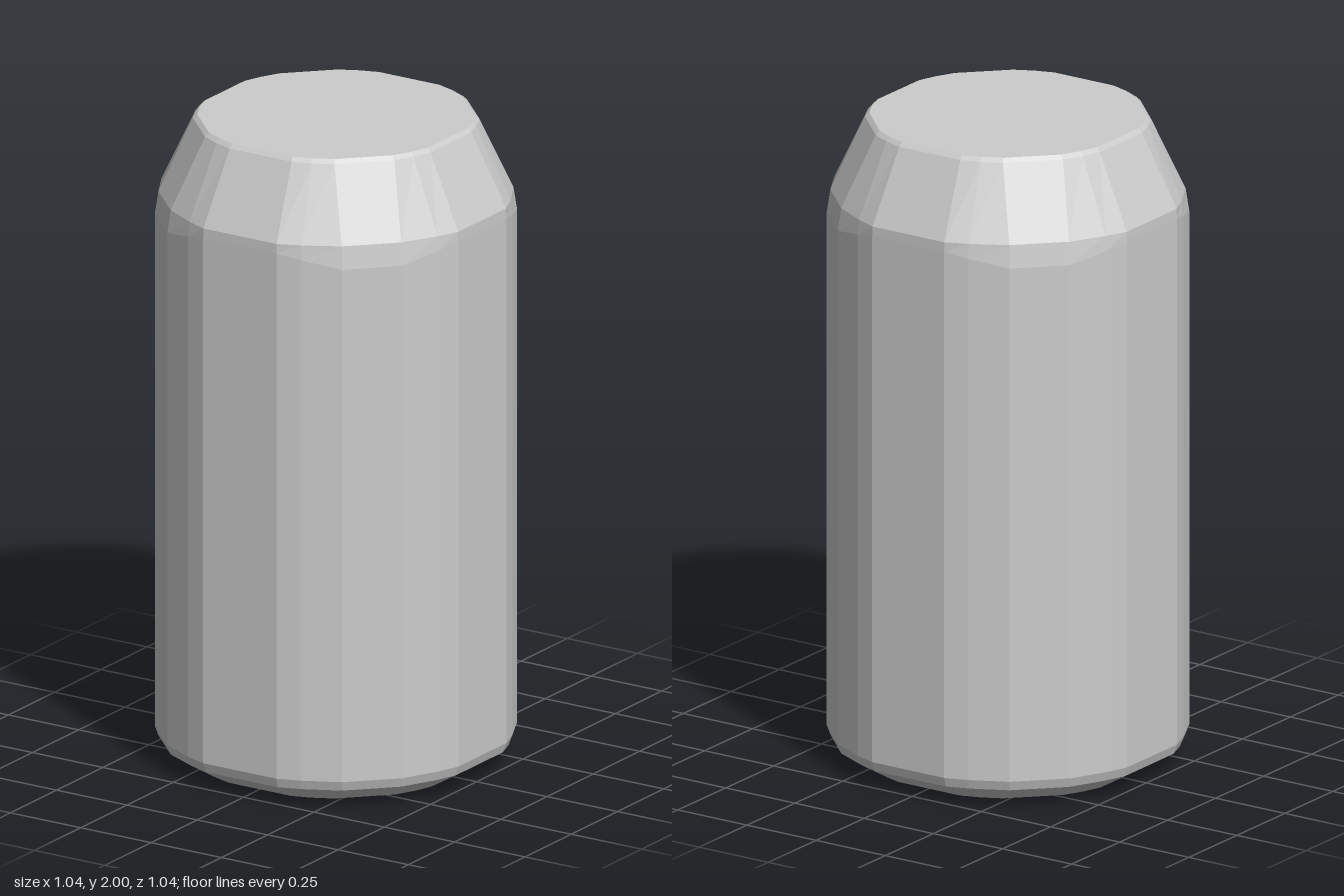
import * as THREE from 'three';

// Quarter of each cross-section, [x, z]; rotated four times to close the ring
const BODY = [[0.13, 0.52], [0.2, 0.495], [0.31, 0.44], [0.44, 0.31], [0.495, 0.2], [0.52, 0.13]];
const NECK = [[0.11, 0.408], [0.17, 0.388], [0.23, 0.358], [0.358, 0.23], [0.388, 0.17], [0.408, 0.11]];
// Lower edge of the shoulder bevel dips further at the rounded corners
const DIP = [1.735, 1.72, 1.695, 1.695, 1.72, 1.735];
const CORNER = [0.998, 0.99, 0.98, 0.98, 0.99, 0.998];

function ring(quarter, y, scale = 1) {
  const points = [];
  for (let q = 0; q < 4; q++) {
    quarter.forEach(([x0, z0], i) => {
      const s = Array.isArray(scale) ? scale[i] : scale;
      let x = x0 * s, z = z0 * s;
      for (let k = 0; k < q; k++) [x, z] = [z, -x];
      points.push(new THREE.Vector3(x, Array.isArray(y) ? y[i] : y, z));
    });
  }
  return points;
}

// Faceted skin through a stack of rings, optionally closed by flat caps
function loft(rings, capBottom, capTop) {
  const pos = [];
  const tri = (...corners) => corners.forEach((p) => pos.push(p.x, p.y, p.z));
  const n = rings[0].length;
  for (let r = 0; r < rings.length - 1; r++) {
    for (let j = 0; j < n; j++) {
      const k = (j + 1) % n;
      const [a, b, c, d] = [rings[r][j], rings[r][k], rings[r + 1][k], rings[r + 1][j]];
      tri(a, b, c);
      tri(a, c, d);
    }
  }
  const low = rings[0], high = rings[rings.length - 1];
  for (let j = 1; j < n - 1; j++) {
    if (capBottom) tri(low[0], low[j + 1], low[j]);
    if (capTop) tri(high[0], high[j], high[j + 1]);
  }
  const geometry = new THREE.BufferGeometry();
  geometry.setAttribute('position', new THREE.Float32BufferAttribute(pos, 3));
  geometry.computeVertexNormals();
  return geometry;
}

export function createModel() {
  const group = new THREE.Group();
  group.name = 'can';
  const material = new THREE.MeshStandardMaterial({ color: 0xcccccc, flatShading: true });
  const add = (name, geometry) => {
    const mesh = new THREE.Mesh(geometry, material);
    mesh.name = name;
    group.add(mesh);
  };

  const foot = ring(BODY, 0.088);
  const shoulderLow = ring(BODY, DIP);

  // Chamfered base with flat underside
  add('base', loft([ring(NECK, 0, 1.01), ring(BODY, 0.058, 0.98), foot], true, false));
  // Straight faceted wall
  add('body', loft([foot, shoulderLow], false, false));
  // Tapered shoulder with a narrow rim bevel and flat lid
  add('shoulderAndLid', loft([
    shoulderLow, ring(BODY, 1.765, CORNER), ring(NECK, 1.988), ring(NECK, 2, 0.97),
  ], false, true));
  return group;
}
